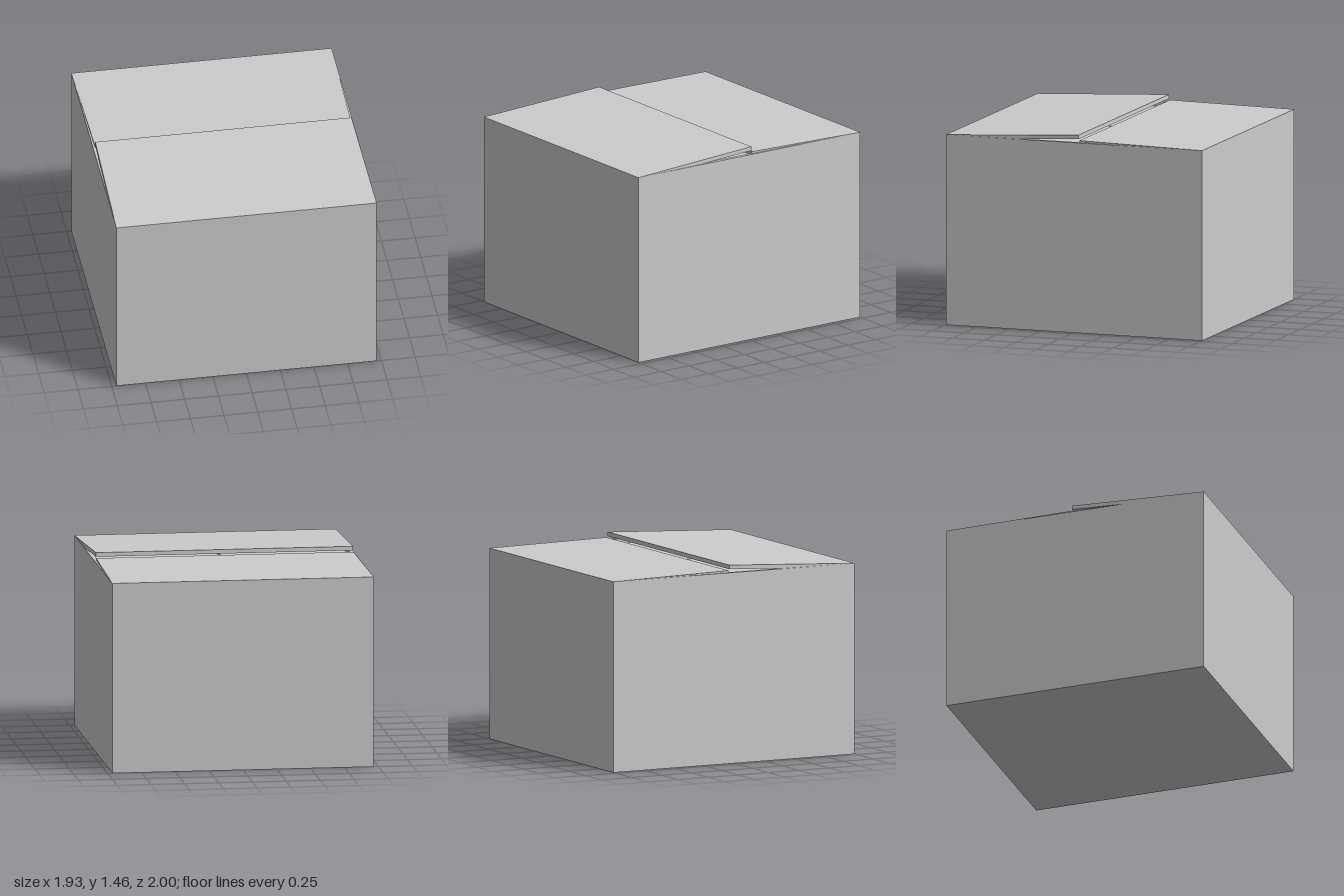
import * as THREE from 'three';

const W = 0.965, D = 1, H = 1.41, T = 0.03; // half width, half depth, height, board thickness

export function createModel() {
  const card = new THREE.MeshStandardMaterial({ color: 0xcccccc });
  card.name = 'greyCard';
  const model = new THREE.Group();
  model.name = 'carton';

  const add = (name, geometry, x = 0, y = 0, z = 0) => {
    const mesh = new THREE.Mesh(geometry, card);
    mesh.name = name;
    mesh.position.set(x, y, z);
    model.add(mesh);
    return mesh;
  };

  // Walls: a hollow rectangular sleeve extruded upwards
  const outline = new THREE.Shape([
    new THREE.Vector2(-W, -D), new THREE.Vector2(W, -D),
    new THREE.Vector2(W, D), new THREE.Vector2(-W, D)]);
  const w = W - T, d = D - T;
  outline.holes.push(new THREE.Path([
    new THREE.Vector2(-w, -d), new THREE.Vector2(-w, d),
    new THREE.Vector2(w, d), new THREE.Vector2(w, -d)]));
  const walls = new THREE.ExtrudeGeometry(outline, { depth: H, bevelEnabled: false });
  walls.rotateX(-Math.PI / 2);
  add('walls', walls);

  // Floor, flush with the bottom of the walls
  add('floor', new THREE.BoxGeometry(2 * w, T, 2 * d), 0, T / 2, 0);

  // Side flaps folded flat beneath the outer ones
  for (const [name, side] of [['leftInnerFlap', 1], ['rightInnerFlap', -1]]) {
    add(name, new THREE.BoxGeometry(w - 0.01, 0.02, 2 * d - 0.02), side * (w + 0.01) / 2, H - 0.045, 0);
  }

  // Outer flap: a board hinged on its wall, narrowing to its free edge
  const flap = (name, length, angle, side) => {
    const shape = new THREE.Shape([
      new THREE.Vector2(-W, 0), new THREE.Vector2(W, 0),
      new THREE.Vector2(W - 0.015, length), new THREE.Vector2(-W + 0.015, length)]);
    const geometry = new THREE.ExtrudeGeometry(shape, { depth: T, bevelEnabled: false });
    geometry.rotateX(-Math.PI / 2); // length runs towards -z
    geometry.translate(0, -T, 0);   // top face holds the hinge line
    geometry.rotateX(angle);
    if (side < 0) geometry.rotateY(Math.PI);
    add(name, geometry, 0, H, side * D);
  };
  flap('frontFlap', 1.03, 0.053, 1);
  flap('backFlap', 0.963, 0.0155, -1);

  return model;
}
